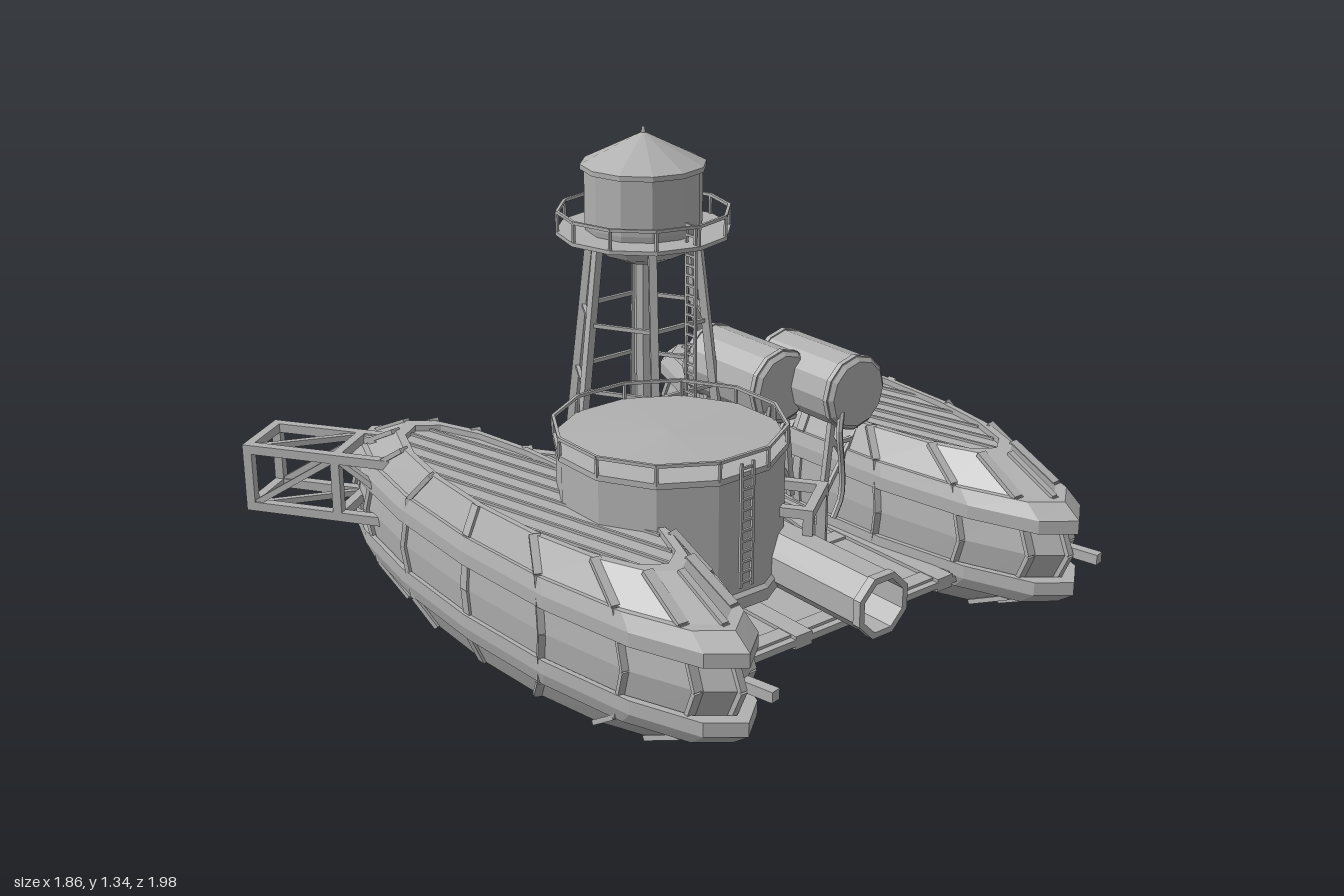
import * as THREE from 'three';
import { mergeGeometries } from 'three/addons/utils/BufferGeometryUtils.js';

const grey = new THREE.MeshStandardMaterial({ color: 0xb0b0b0, flatShading: true, side: THREE.DoubleSide });
grey.name = 'plain grey';

const V = (x, y, z) => new THREE.Vector3(x, y, z);

// Square or round bar between two points
function bar(a, b, w, h = w) {
  const g = new THREE.BoxGeometry(w, h, a.distanceTo(b));
  const m = new THREE.Object3D();
  m.position.copy(a).add(b).multiplyScalar(0.5);
  m.lookAt(b);
  m.updateMatrix();
  return g.applyMatrix4(m.matrix);
}
function box(w, h, d, x, y, z) {
  return new THREE.BoxGeometry(w, h, d).translate(x, y, z);
}
function lathe(profile, sides, turn = 0) {
  return new THREE.LatheGeometry(profile.map(([r, y]) => new THREE.Vector2(r, y)), sides, turn);
}
function part(name, geos) {
  const mesh = new THREE.Mesh(geos.length > 1 ? mergeGeometries(geos) : geos[0], grey);
  mesh.name = name;
  return mesh;
}
function group(name, x, y, z, ...children) {
  const g = new THREE.Group();
  g.name = name;
  g.position.set(x, y, z);
  g.add(...children);
  return g;
}
// Points around a circle
function circle(r, y, n, turn = 0) {
  return Array.from({ length: n }, (_, i) => {
    const a = turn + i / n * Math.PI * 2;
    return V(Math.sin(a) * r, y, Math.cos(a) * r);
  });
}
const ring = (pts, w, h = w) => pts.map((p, i) => bar(p, pts[(i + 1) % pts.length], w, h));

// Railing with posts and a top rail
function railing(r, y0, y1, n, turn) {
  const low = circle(r, y0, n, turn), top = circle(r, y1, n, turn);
  return [...ring(top, 0.009), ...low.map((p, i) => bar(p, top[i], 0.008))];
}
// Ladder in the given plane, rungs running along "side"
function ladder(centre, side, half, y0, y1) {
  const at = (s, y) => centre.clone().addScaledVector(side, s * half).setY(y);
  const out = [-1, 1].map(s => bar(at(s, y0), at(s, y1), 0.008));
  for (let y = y0 + 0.015; y < y1; y += 0.03) out.push(bar(at(-1, y), at(1, y), 0.007));
  return out;
}

// Hull from oval rings [y, half width, half length]
const SIDES = 16;
const oval = ([y, hx, hz], i) => {
  const a = i / SIDES * Math.PI * 2;
  return V(Math.sin(a) * hx, y, Math.cos(a) * hz);
};
function loft(rings) {
  const pos = [], idx = [], n = SIDES;
  for (const r of rings) for (let i = 0; i < n; i++) pos.push(...oval(r, i).toArray());
  for (let k = 0; k < rings.length - 1; k++) for (let i = 0; i < n; i++) {
    const a = k * n + i, b = k * n + (i + 1) % n;
    idx.push(a, b, b + n, a, b + n, a + n);
  }
  const g = new THREE.BufferGeometry();
  g.setAttribute('position', new THREE.Float32BufferAttribute(pos, 3));
  g.setIndex(idx);
  g.computeVertexNormals();
  return g;
}

function pontoon(x) {
  const side = [[0, 0.175, 0.65], [0.08, 0.21, 0.82], [0.235, 0.222, 0.89], [0.39, 0.21, 0.82], [0.47, 0.175, 0.65]];
  const hull = part('hull', [loft([
    [0.018, 0, 0], [0.018, 0.158, 0.6], [0, 0.158, 0.6], ...side,
    [0.47, 0.158, 0.6], [0.452, 0.158, 0.6], [0.452, 0, 0]])]);
  const hoops = part('hoops', [
    loft([[0.31, 0.218, 0.87], [0.31, 0.231, 0.915], [0.35, 0.231, 0.915], [0.39, 0.22, 0.86], [0.39, 0.2, 0.8]]),
    loft([[0.08, 0.2, 0.8], [0.08, 0.22, 0.86], [0.12, 0.231, 0.915], [0.16, 0.231, 0.915], [0.16, 0.218, 0.87]])]);
  // Stave battens up the side of the hull
  const ribs = [];
  for (let i = 0; i < SIDES; i++) for (let k = 0; k < side.length - 1; k++)
    ribs.push(bar(oval(side[k], i), oval(side[k + 1], i), i % 8 ? 0.03 : 0.02, 0.014));
  // Diagonal seams on both faces, cut to the oval
  const seams = [], dx = 0.243, dz = 0.97, a = 0.158, b = 0.59;
  for (let c = -0.24; c <= 0.241; c += 0.06) {
    const A = dx * dx / a / a + dz * dz / b / b, B = c * dx / a / a, C = c * c / a / a - 1;
    const root = Math.sqrt(Math.max(0, B * B - A * C));
    if (root === 0) continue;
    const t0 = (-B - root) / A, t1 = (-B + root) / A;
    for (const y of [0.018, 0.452])
      seams.push(bar(V(c + t0 * dx, y, t0 * dz), V(c + t1 * dx, y, t1 * dz), 0.008, 0.014));
  }
  const bung = part('bung', [bar(V(0.03, 0.235, 0.86), V(0.05, 0.235, 0.955), 0.03)]);
  return group('pontoon', x, 0, 0.035, hull, hoops, part('staves', ribs), part('deckSeams', seams), bung);
}

function platform() {
  const slab = part('slab', [box(0.9, 0.02, 1.2, 0.095, 0.11, 0.055)]);
  const beams = [];
  for (const x of [-0.3, -0.06, 0.24, 0.49]) beams.push(box(0.06, 0.04, 1.2, x, 0.11, 0.055));
  for (const z of [-0.5, -0.15, 0.25, 0.61]) beams.push(box(0.9, 0.036, 0.05, 0.095, 0.11, z));
  return group('platform', 0, 0, 0, slab, part('beams', beams));
}

function storageTank() {
  const t = Math.PI / 12;
  const body = part('tankBody', [lathe([[0, 0.2], [0.33, 0.2], [0.33, 0.235], [0.318, 0.245], [0.318, 0.58],
    [0.326, 0.58], [0.326, 0.597], [0, 0.612]], 12, t)]);
  return group('storageTank', -0.18, 0, 0.225, body,
    part('tankRailing', railing(0.323, 0.59, 0.645, 12, t)),
    part('tankLadder', ladder(V(0, 0, 0.325), V(1, 0, 0), 0.02, 0.27, 0.63)));
}

function waterTower() {
  const vessel = part('vessel', [lathe([[0, 0.93], [0.06, 0.935], [0.13, 0.965], [0.172, 1.03], [0.176, 1.05], [0.176, 1.215]], 12)]);
  const roof = part('roof', [lathe([[0.17, 1.215], [0.187, 1.215], [0.187, 1.23], [0.02, 1.312], [0.007, 1.318], [0.004, 1.337], [0, 1.337]], 12)]);
  const walkway = part('walkway', [lathe([[0.165, 1.02], [0.262, 1.02], [0.262, 1.032], [0.165, 1.032]], 12),
    ...railing(0.256, 1.025, 1.09, 12, 0)]);
  const column = part('column', [new THREE.CylinderGeometry(0.03, 0.03, 0.76, 8).translate(0, 0.57, 0)]);
  // Six splayed legs with ring braces
  const legRadius = y => 0.167 + (1.03 - y) * 0.122;
  const hex = y => circle(legRadius(y), y, 6, Math.PI / 6);
  const foot = hex(0.2), head = hex(1.03);
  const legs = part('legs', foot.map((p, i) => bar(p, head[i], 0.024)));
  const braces = part('braces', [0.35, 0.57, 0.77].flatMap(y => ring(hex(y), 0.012)));
  return group('waterTower', 0.12, 0, -0.27, vessel, roof, walkway, column, legs, braces,
    part('towerLadder', ladder(V(0, 0, 0.22), V(0, 0, 1), 0.02, 0.2, 1.09)));
}

// Lying drum on a splayed stand, with a drain pipe
function fuelDrum(x, z) {
  const drum = part('drum', [lathe([[0, -0.177], [0.1, -0.177], [0.112, -0.165], [0.112, 0.165], [0.1, 0.177], [0, 0.177]], 12)
    .rotateX(Math.PI / 2).translate(0, 0.585, 0)]);
  const bands = part('drumBands', [-0.155, 0.155].map(s =>
    lathe([[0.108, -0.008], [0.116, -0.008], [0.116, 0.008], [0.108, 0.008]], 12).rotateX(Math.PI / 2).translate(0, 0.585, s)));
  const stand = [];
  for (const s of [-0.12, 0.12]) {
    for (const k of [-1, 1]) {
      stand.push(bar(V(k * 0.05, 0.5, s), V(k * 0.085, 0.2, s), 0.018));
      stand.push(bar(V(k * 0.055, 0.45, s), V(-k * 0.08, 0.25, s), 0.012));
    }
    stand.push(bar(V(-0.06, 0.42, s), V(0.06, 0.42, s), 0.012));
  }
  const path = new THREE.CatmullRomCurve3([V(-0.06, 0.54, 0.17), V(-0.08, 0.49, 0.185), V(-0.06, 0.36, 0.18), V(-0.065, 0.28, 0.185), V(-0.1, 0.22, 0.19)]);
  return group('fuelDrum', x, 0, z, drum, bands, part('drumStand', stand),
    part('drainPipe', [new THREE.TubeGeometry(path, 12, 0.01, 6)]));
}

function pipe() {
  const g = lathe([[0.076, 0], [0.076, 0.95], [0.095, 0.95], [0.095, 0.925], [0.09, 0.925], [0.09, 0], [0.076, 0]], 8, Math.PI / 8);
  const m = part('largePipe', [g.rotateX(Math.PI / 2)]);
  m.position.set(0.04, 0.26, -0.1);
  return m;
}

// Long box truss running diagonally through the deck
function truss() {
  const L = 0.85, W = 0.092, lo = 0.222, hi = 0.405, t = 0.028, bays = 6, bars = [];
  for (const x of [-W, W]) for (const y of [lo, hi]) bars.push(bar(V(x, y, -L - t / 2), V(x, y, L + t / 2), t));
  for (let i = 0; i <= bays; i++) {
    const z = -L + i * 2 * L / bays, z1 = z + 2 * L / bays;
    for (const x of [-W, W]) bars.push(bar(V(x, lo, z), V(x, hi, z), t));
    for (const y of [lo, hi]) bars.push(bar(V(-W, y, z), V(W, y, z), t));
    if (i === bays) break;
    const f = i % 2 ? -1 : 1;
    for (const x of [-W, W]) bars.push(bar(V(x, f > 0 ? lo : hi, z), V(x, f > 0 ? hi : lo, z1), 0.018));
    for (const y of [lo, hi]) bars.push(bar(V(-W * f, y, z), V(W * f, y, z1), 0.018));
  }
  const m = part('truss', bars);
  m.position.set(-0.348, 0, -0.22);
  m.rotation.y = Math.atan2(0.575, 0.818);
  return m;
}

export function createModel() {
  const model = group('tankRaft', 0, 0, 0, platform(), storageTank(), waterTower(), pipe(), truss());
  model.add(pontoon(-0.515), pontoon(0.7));
  model.add(fuelDrum(0.345, -0.06), fuelDrum(0.48, 0.11));
  return model;
}
